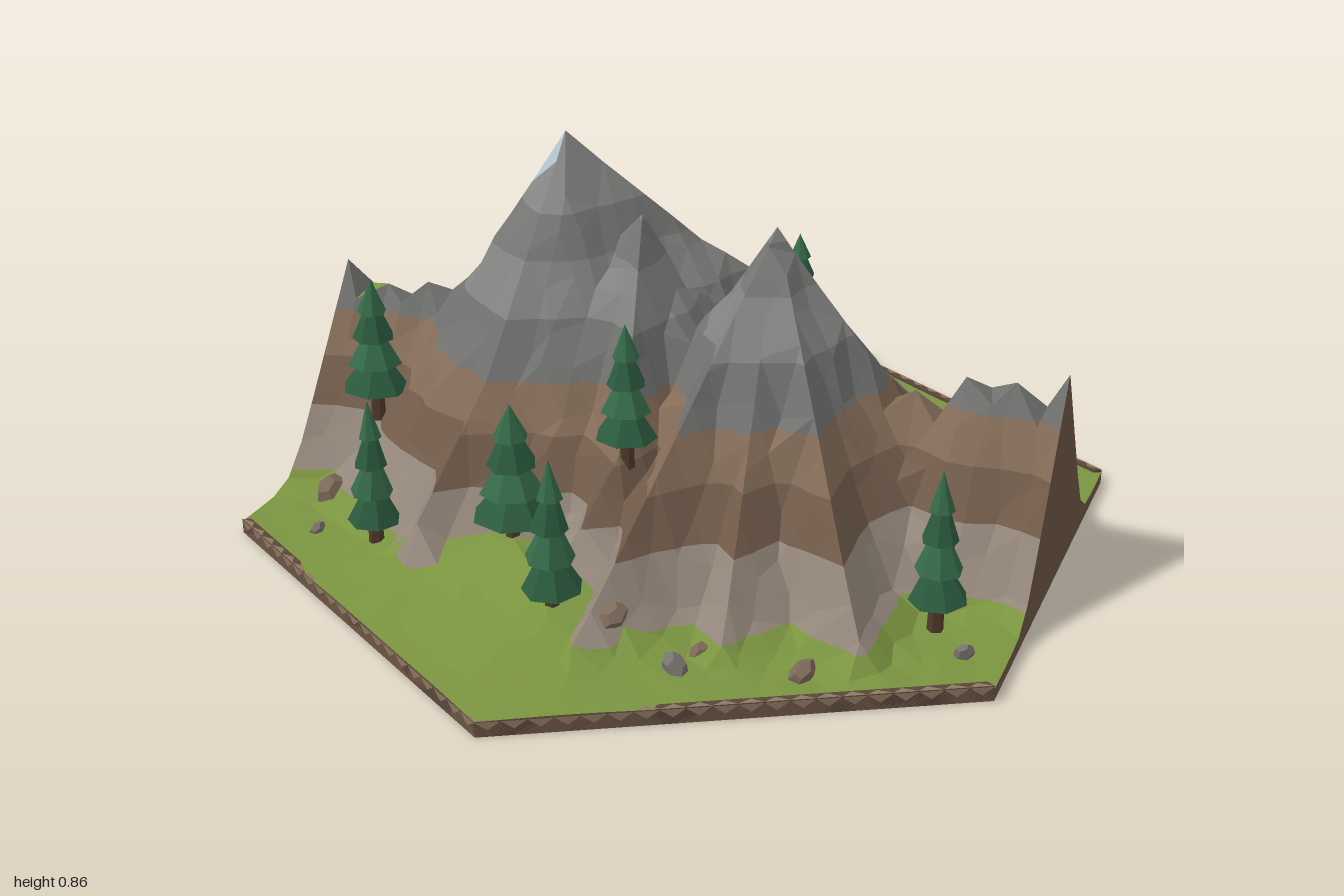
import * as THREE from 'three';

const N = 16;              // lattice steps from centre to corner
const W = Math.sqrt(3) / 2;

// Ridge lines: slope of the flanks, then points [x, z, height]
const A = [-0.3, -0.04, 0.86], B = [0.23, 0.03, 0.73], C = [-0.09, 0.015, 0.71];
const RIDGES = [
  // side ridges running to the cut faces
  [1.5, [-W, 0, 0.49], [-0.78, 0, 0.44], [-0.47, 0, 0.5]],
  [2, [-0.47, 0, 0.5], A],
  [1.7, B, [0.45, 0, 0.44], [0.6, 0, 0.37], [0.67, 0, 0.48], [0.8, 0, 0.44], [W, 0, 0.49]],
  // back flank
  [1.5, A, [-0.05, -0.2, 0.6], [0.2, -0.42, 0.36], [0.45, -0.56, 0.06]],
  [1.6, A, [-0.3, -0.35, 0.49], [-0.28, -0.8, 0.05]],
  [1.3, [-0.3, -0.35, 0.49], [-0.48, -0.52, 0.05]],
  [1.3, [-0.2, -0.2, 0.64], [-0.08, -0.76, 0.09]],
  [1.3, [-0.05, -0.2, 0.6], [0.1, -0.8, 0.05]],
  [1.5, B, [0.3, -0.2, 0.43], [0.6, -0.38, 0.06]],
  // front spurs
  [1.8, A, [-0.33, 0.3, 0.4], [-0.42, 0.63, 0.02]],
  [1.7, C, [0.02, 0.36, 0.33], [-0.04, 0.6, 0.1]],
  [1.7, B, [0.07, 0.79, 0.02]],
  [1.4, B, [0.35, 0.64, 0.03]],
  [1.6, B, [0.63, 0.57, 0.02]],
  // grassy rise between the spurs
  [0.4, [-0.22, 0.45, 0.13], [-0.01, 0.65, 0.1]],
];

// Lowest height and colour of each layer
const LAYERS = [['grass', -1, 0x7a9440], ['scree', 0.065, 0x93867a], ['lowerEarth', 0.19, 0x725c4b],
  ['upperEarth', 0.29, 0x846c58], ['darkRock', 0.385, 0x70706f], ['paleRock', 0.5, 0x828280],
  ['highRock', 0.61, 0x757574], ['summitRock', 0.7, 0x868685]];

const hash = (a, b) => {
  const s = Math.sin(a * 127.1 + b * 311.7 + 4.2) * 43758.5453;
  return s - Math.floor(s);
};
const material = (color, extra = {}) => new THREE.MeshStandardMaterial({ color, flatShading: true, ...extra });

function add(parent, name, geometry, mat) {
  const mesh = new THREE.Mesh(geometry, mat);
  mesh.name = name;
  parent.add(mesh);
  return mesh;
}

function fromTriangles(positions) {
  const g = new THREE.BufferGeometry();
  g.setAttribute('position', new THREE.Float32BufferAttribute(positions, 3));
  g.computeVertexNormals();
  return g;
}

// Highest flank over a point, and the closest ridge point
function survey(x, z) {
  let top = -1, near = { d: 9 };
  for (const [slope, ...pts] of RIDGES) {
    for (let i = 0; i + 1 < pts.length; i++) {
      const [ax, az, ah] = pts[i], [bx, bz, bh] = pts[i + 1];
      const dx = bx - ax, dz = bz - az;
      const t = THREE.MathUtils.clamp(((x - ax) * dx + (z - az) * dz) / (dx * dx + dz * dz), 0, 1);
      const px = ax + dx * t, pz = az + dz * t, d = Math.hypot(x - px, z - pz);
      top = Math.max(top, ah + (bh - ah) * t - slope * d);
      if (d < near.d) near = { d, t, px, pz };
    }
  }
  // soft foot where the slope meets the ground
  return { near, h: 0.028 + 0.04 * Math.log(1 + Math.exp((top - 0.032) / 0.04)) };
}

function latticePoint(q, r) {
  let x = (r * W) / N, z = (q + r / 2) / N;
  const border = Math.max(Math.abs(q), Math.abs(r), Math.abs(q + r)) === N;
  if (border) return new THREE.Vector3(x, survey(x, z).h, z);
  for (const p of [A, B, C])
    if (Math.hypot(x - p[0], z - p[1]) < 0.56 / N) return new THREE.Vector3(p[0], p[2], p[1]);
  const { near } = survey(x, z);
  if (near.d < 0.03 && near.t > 0 && near.t < 1) {
    return new THREE.Vector3(near.px, survey(near.px, near.pz).h, near.pz);
  }
  x += (hash(q, r) - 0.5) * 0.028;
  z += (hash(r + 40, q) - 0.5) * 0.028;
  const h = survey(x, z).h;
  const rough = THREE.MathUtils.smoothstep(h, 0.06, 0.3) * 0.03 + 0.006;
  return new THREE.Vector3(x, h + (hash(q + 9, r - 7) - 0.5) * rough, z);
}

// Part of a polygon above (sign 1) or below (sign -1) a level
function clip(poly, level, sign) {
  const out = [];
  poly.forEach((a, i) => {
    const b = poly[(i + 1) % poly.length];
    const da = (a.y - level) * sign, db = (b.y - level) * sign;
    if (da >= 0) out.push(a);
    if (da * db < 0) out.push(a.clone().lerp(b, da / (da - db)));
  });
  return out;
}

function buildTerrain(parent) {
  const cache = new Map();
  const P = (q, r) => {
    const key = q + ',' + r;
    if (!cache.has(key)) cache.set(key, latticePoint(q, r));
    return cache.get(key);
  };
  const inside = (q, r) => Math.max(Math.abs(q), Math.abs(r), Math.abs(q + r)) <= N;
  const faces = LAYERS.map(() => []), snow = [];
  const emit = (list, poly) => {
    for (let i = 1; i + 1 < poly.length; i++)
      for (const v of [poly[0], poly[i], poly[i + 1]]) list.push(v.x, v.y, v.z);
  };
  const face = (...ids) => {
    if (!ids.every(([q, r]) => inside(q, r))) return;
    const tri = ids.map(([q, r]) => P(q, r));
    const n = new THREE.Triangle(...tri).getNormal(new THREE.Vector3());
    if (n.lengthSq() < 0.5) return;
    // gentle ground stays grassy
    if (n.y > (tri[0].y < 0.17 ? 0.86 : 0.9) && tri[0].y < 0.45) return emit(faces[0], tri);
    LAYERS.forEach(([, low], i) => {
      const high = i + 1 < LAYERS.length ? LAYERS[i + 1][1] : 2;
      const icy = i === 7 && n.x < 0 && n.z > 0 && tri.some((v) => v.y > 0.84);
      emit(icy ? snow : faces[i], clip(clip(tri, low, 1), high, -1));
    });
  };
  for (let q = -N; q <= N; q++) {
    for (let r = -N; r <= N; r++) {
      face([q, r], [q + 1, r], [q, r + 1]);
      face([q + 1, r], [q + 1, r + 1], [q, r + 1]);
    }
  }
  LAYERS.forEach(([name, , color], i) => add(parent, name, fromTriangles(faces[i]), material(color, { side: THREE.DoubleSide })));
  add(parent, 'snowPatch', fromTriangles(snow), material(0xb4c4d0, { side: THREE.DoubleSide }));

  // Cut faces around the tile, and its underside
  const corners = [[N, 0], [0, N], [-N, N], [-N, 0], [0, -N], [N, -N]];
  const wall = [], bottom = [];
  corners.forEach(([q, r], i) => {
    const [q2, r2] = corners[(i + 1) % 6], dq = (q2 - q) / N, dr = (r2 - r) / N;
    for (let k = 0; k < N; k++) {
      const a = P(q + dq * k, r + dr * k), b = P(q + dq * (k + 1), r + dr * (k + 1));
      emit(wall, [a.clone().setY(0), b.clone().setY(0), b, a]);
    }
    emit(bottom, [new THREE.Vector3(), P(q2, r2).clone().setY(0), P(q, r).clone().setY(0)]);
  });
  add(parent, 'cutWall', fromTriangles(wall), material(0x6b5543));
  add(parent, 'underside', fromTriangles(bottom), material(0x4b3f35));
}

// Earth rim with a sawtooth strip along the four slanted edges
function buildRim(parent) {
  const ends = [[[0, 1], [W, 0.5]], [[W, -0.5], [0, -1]], [[0, -1], [-W, -0.5]], [[-W, 0.5], [0, 1]]];
  const teeth = [];
  for (const [a, b] of ends) {
    const pts = [a, b, b.map((v) => v * 0.98), a.map((v) => v * 0.98)];
    const shape = new THREE.Shape(pts.map(([x, z]) => new THREE.Vector2(x, -z)));
    const g = new THREE.ExtrudeGeometry(shape, { depth: 0.034, bevelEnabled: false }).rotateX(-Math.PI / 2);
    add(parent, 'rim', g, material(0x5a4638));
    const at = (t, y, s) => [(a[0] + (b[0] - a[0]) * t) * s, y, (a[1] + (b[1] - a[1]) * t) * s];
    for (let k = 0; k < 20; k++) {
      const t0 = k / 20, t1 = (k + 1) / 20, mid = (t0 + t1) / 2;
      teeth.push(...at(t0, 0.033, 1.001), ...at(mid, 0.015, 1.001), ...at(t1, 0.033, 1.001));
      teeth.push(...at(t0, 0.035, 1), ...at(t1, 0.035, 1), ...at(mid, 0.035, 0.984));
    }
  }
  add(parent, 'rimTeeth', fromTriangles(teeth), material(0x8c7763, { side: THREE.DoubleSide }));
}

// Conifer: trunk and four stacked skirts of needles
function buildTree(parent, x, z, base, top, radius, i) {
  const tree = new THREE.Group(), h = top - base;
  tree.name = 'tree';
  tree.position.set(x, base, z);
  tree.rotation.y = i * 1.3;
  const trunk = add(tree, 'trunk', new THREE.CylinderGeometry(0.012, 0.018, h * 0.4 + 0.05, 6), material(0x4f3a29));
  trunk.position.y = h * 0.2 - 0.025;
  for (let k = 0; k < 4; k++) {
    const low = h * (0.1 + 0.21 * k), high = k === 3 ? h : low + h * 0.3, r = radius * (1 - 0.19 * k);
    const tier = add(tree, 'needles', new THREE.CylinderGeometry(k === 3 ? 0 : r * 0.2, r, high - low, 7), material(k % 2 ? 0x356b49 : 0x2c5c3f));
    tier.position.y = (low + high) / 2;
    tier.rotation.set(0.05 * Math.sin(i + k), k * 0.7, 0.05 * Math.cos(i * 2 + k));
  }
  parent.add(tree);
}

export function createModel() {
  const model = new THREE.Group();
  model.name = 'mountainTile';
  buildTerrain(model);
  buildRim(model);

  // x, z, foot height, tip height, radius
  const trees = [[-0.06, -0.76, 0.09, 0.39, 0.088], [-0.53, -0.38, 0.09, 0.37, 0.075], [0.17, -0.29, 0.39, 0.6, 0.058],
    [-0.68, 0.2, 0.24, 0.535, 0.078], [-0.52, 0.49, 0.07, 0.385, 0.058], [-0.19, 0.47, 0.14, 0.43, 0.087],
    [-0.01, 0.65, 0.1, 0.42, 0.064], [0.025, 0.36, 0.32, 0.6, 0.067], [0.7, 0.34, 0.07, 0.39, 0.062]];
  trees.forEach((t, i) => buildTree(model, ...t, i));

  // Loose stones
  const stones = [[-0.53, -0.6], [-0.64, -0.27], [-0.74, 0.33], [-0.68, 0.48], [0.13, 0.66], [0.28, 0.7], [0.51, 0.61],
    [0.78, 0.41], [0.58, -0.43], [0.73, -0.43], [0.51, -0.34], [0.57, -0.29], [0.09, -0.68], [-0.03, -0.85], [0.3, 0.63]];
  stones.forEach(([x, z], i) => {
    const size = 0.02 + 0.018 * hash(i, 3);
    const stone = add(model, 'stone', new THREE.DodecahedronGeometry(size, 0), material(i % 2 ? 0x77736e : 0x7d6a5a));
    stone.scale.set(1.15, 0.7, 0.9);
    stone.rotation.set(i, i * 2.1, i * 0.7);
    stone.position.set(x, survey(x, z).h + size * 0.3, z);
  });
  return model;
}
